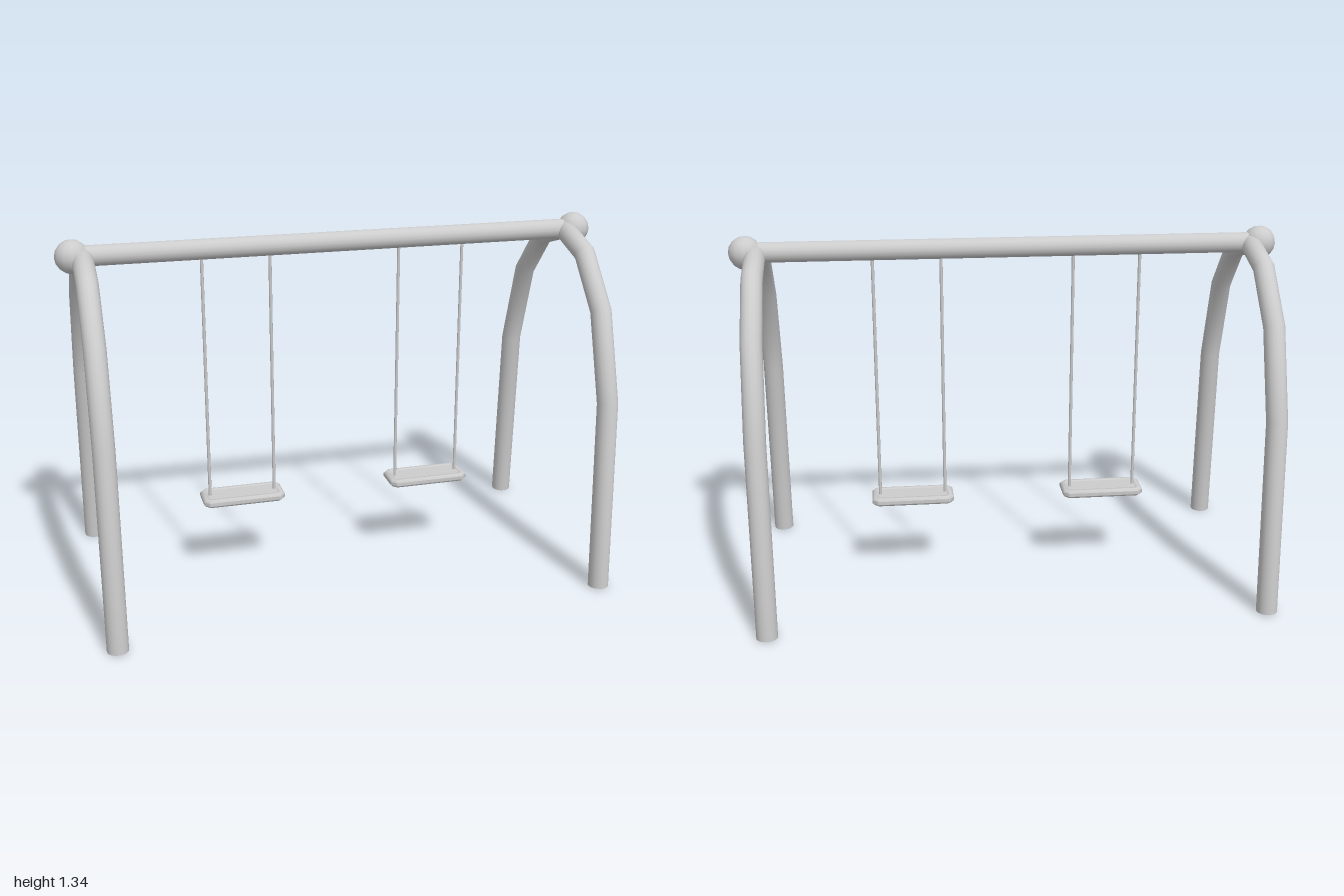
import * as THREE from 'three';
import { toCreasedNormals } from 'three/addons/utils/BufferGeometryUtils.js';

// Sweeps a round section along a flat path with mitred joints; n is the path plane's normal.
function sweep(path, n, radius, sides, closed = false, turn = 0) {
  const count = path.length, pos = [], index = [];
  const sideways = (a, b) => n.clone().cross(b.clone().sub(a).normalize());
  for (let i = 0; i < count; i++) {
    const prev = path[(i + count - 1) % count], next = path[(i + 1) % count], p = path[i];
    const out = closed || i < count - 1 ? sideways(p, next) : sideways(prev, p);
    const inn = closed || i > 0 ? sideways(prev, p) : out;
    const m = inn.clone().add(out).divideScalar(1 + inn.dot(out));
    for (let j = 0; j < sides; j++) {
      const t = (j / sides) * Math.PI * 2 + turn;
      const v = p.clone().addScaledVector(m, radius * Math.cos(t)).addScaledVector(n, radius * Math.sin(t));
      pos.push(v.x, v.y, v.z);
    }
  }
  const at = (i, j) => (i % count) * sides + (j % sides);
  for (let i = 0; i < (closed ? count : count - 1); i++) {
    for (let j = 0; j < sides; j++) {
      index.push(at(i, j), at(i, j + 1), at(i + 1, j), at(i, j + 1), at(i + 1, j + 1), at(i + 1, j));
    }
  }
  if (!closed) {
    for (let j = 1; j < sides - 1; j++) {
      index.push(at(0, 0), at(0, j + 1), at(0, j));
      index.push(at(count - 1, 0), at(count - 1, j), at(count - 1, j + 1));
    }
  }
  const g = new THREE.BufferGeometry();
  g.setAttribute('position', new THREE.Float32BufferAttribute(pos, 3));
  g.setIndex(index);
  return toCreasedNormals(g, 0.8);
}

export function createModel() {
  const group = new THREE.Group();
  group.name = 'swingSet';
  const grey = new THREE.MeshStandardMaterial({ color: 0xcccccc });
  grey.name = 'light grey';
  const add = (parent, name, geometry, x = 0, y = 0, z = 0) => {
    const mesh = new THREE.Mesh(geometry, grey);
    mesh.name = name;
    mesh.position.set(x, y, z);
    parent.add(mesh);
    return mesh;
  };
  const beamY = 1.278;

  // Top beam
  add(group, 'topBeam', new THREE.CylinderGeometry(0.037, 0.037, 1.88, 16), 0, beamY).rotation.z = Math.PI / 2;

  // Arched end frames with ball joints
  const half = [[0.481, 0.002], [0.445, 0.722], [0.342, 1.042], [0.183, 1.22]];
  const arch = [...half, [0, 1.277], ...half.map(([z, y]) => [-z, y]).reverse()]
    .map(([z, y]) => new THREE.Vector3(0, y, z));
  const archGeometry = sweep(arch, new THREE.Vector3(1, 0, 0), 0.038, 16);
  const ballGeometry = new THREE.SphereGeometry(0.06, 12, 8);
  for (const s of [-1, 1]) {
    const side = s > 0 ? 'left' : 'right';
    add(group, side + 'Arch', archGeometry, s * 0.905);
    add(group, side + 'BallJoint', ballGeometry, s * 0.94, beamY);
  }

  // Seat rim: rectangle with clipped corners
  const a = 0.14, b = 0.053, c = 0.012;
  const rim = [[a, b - c], [a - c, b], [c - a, b], [-a, b - c], [-a, c - b], [c - a, -b], [a - c, -b], [a, c - b]]
    .map(([x, z]) => new THREE.Vector3(x, 0, z));
  const rimGeometry = sweep(rim, new THREE.Vector3(0, 1, 0), 0.0162, 8, true, Math.PI / 8);
  const panelGeometry = new THREE.BoxGeometry(2 * a, 0.024, 2 * b);
  const ropeGeometry = new THREE.CylinderGeometry(0.006, 0.006, 0.94, 8);

  // Two swings
  for (const s of [-1, 1]) {
    const swing = new THREE.Group();
    swing.name = s > 0 ? 'leftSwing' : 'rightSwing';
    swing.position.set(s * 0.367, 0.318, 0);
    add(swing, 'seatRim', rimGeometry);
    add(swing, 'seatPanel', panelGeometry);
    for (const r of [-1, 1]) add(swing, 'rope', ropeGeometry, r * 0.124, 0.47, 0);
    group.add(swing);
  }
  return group;
}
